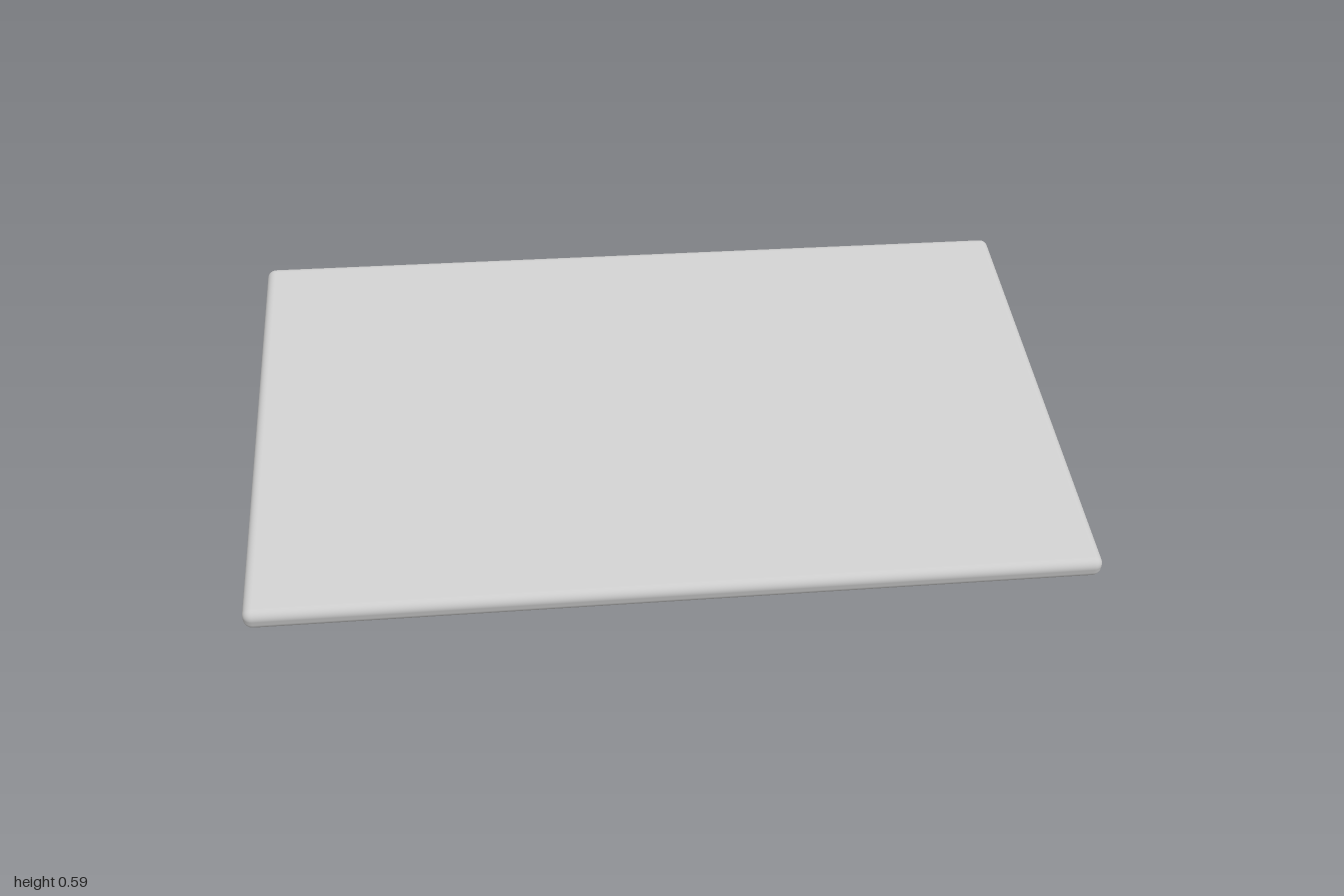
import * as THREE from 'three';
import { RoundedBoxGeometry } from 'three/addons/geometries/RoundedBoxGeometry.js';
import { toCreasedNormals } from 'three/addons/utils/BufferGeometryUtils.js';

const material = new THREE.MeshStandardMaterial({ color: 0xcccccc });

function addPart(parent, name, geometry, x = 0, y = 0, z = 0) {
  const mesh = new THREE.Mesh(geometry, material);
  mesh.name = name;
  mesh.position.set(x, y, z);
  parent.add(mesh);
  return mesh;
}

export function createModel() {
  const model = new THREE.Group();
  model.name = 'tiltedPanelOnStand';

  // Everything above the base shares the panel's tilt
  const head = new THREE.Group();
  head.name = 'tiltedHead';
  head.position.set(0, 0.385, 0);
  head.rotation.x = 0.318;
  model.add(head);

  // Thin rounded panel
  addPart(head, 'panel', new RoundedBoxGeometry(2, 0.056, 1.187, 5, 0.023));

  // Mounting disc under the panel
  const disc = new THREE.CylinderGeometry(0.121, 0.121, 0.046, 16);
  addPart(head, 'mountingDisc', disc, 0, -0.043, 0.016);

  // Post, flaring slightly where it meets the base
  const profile = [
    [0, -0.3], [0.05, -0.3], [0.044, -0.274], [0.038, -0.264], [0.037, -0.25], [0.037, -0.05], [0, -0.05],
  ].map(([r, y]) => new THREE.Vector2(r, y));
  const post = toCreasedNormals(new THREE.LatheGeometry(profile, 24), 0.7);
  addPart(head, 'post', post, 0, 0, 0.017);

  // Wedge base: side profile extruded across x with softened edges
  const bevel = 0.008;
  const side = new THREE.Shape([
    [-0.141, 0], [0.317, 0], [0.302, 0.179], [-0.158, 0.059],
  ].map(([x, y]) => new THREE.Vector2(x, y)));
  const depth = 0.314 - 2 * bevel;
  const wedge = new THREE.ExtrudeGeometry(side, {
    depth, bevelEnabled: true, bevelSize: bevel, bevelThickness: bevel,
    bevelOffset: -bevel, bevelSegments: 3,
  });
  wedge.translate(0, 0, -depth / 2);
  wedge.rotateY(Math.PI / 2);
  addPart(model, 'base', toCreasedNormals(wedge, 0.7));

  return model;
}
